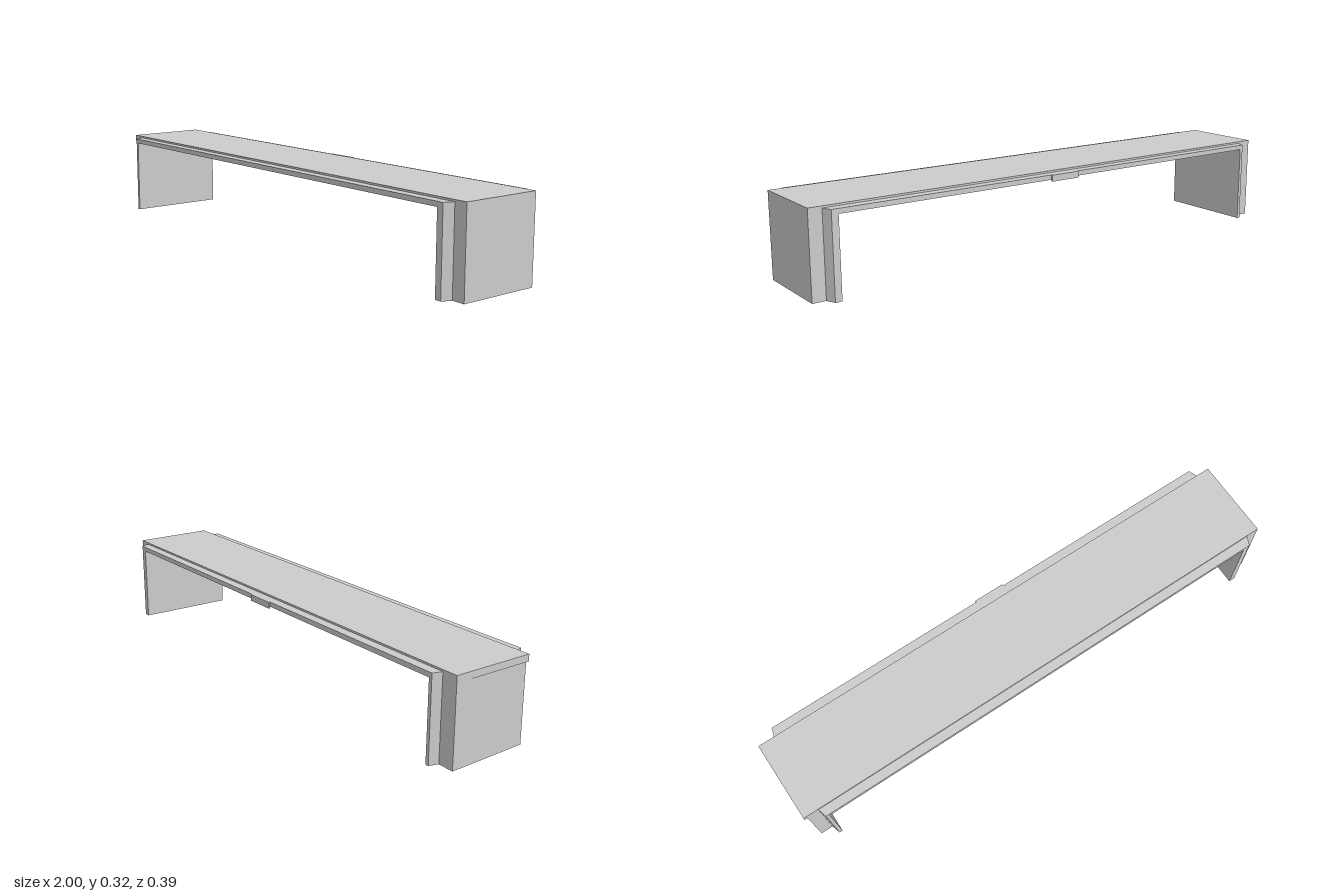
import * as THREE from 'three';

const material = new THREE.MeshStandardMaterial({ color: 0xcccccc, flatShading: true });

// Extrudes a plan outline of [x, z] corners from height y0 to y1.
function slab(name, plan, y0, y1) {
  const shape = new THREE.Shape(plan.map(([x, z]) => new THREE.Vector2(x, -z)));
  const geometry = new THREE.ExtrudeGeometry(shape, { depth: y1 - y0, bevelEnabled: false });
  geometry.rotateX(-Math.PI / 2);
  geometry.translate(0, y0, 0);
  const mesh = new THREE.Mesh(geometry, material);
  mesh.name = name;
  return mesh;
}

export function createModel() {
  const group = new THREE.Group();
  group.name = 'bridge';
  const front = 0.195, back = -0.188, capFront = 0.16, capBack = -0.153;
  const deckTop = 0.31, deckBottom = 0.292, top = 0.317;

  // End walls with a chamfered step; the right-hand outer face is slightly skewed
  group.add(slab('leftLeg', [
    [0.91, front], [0.935, front], [0.95, capFront], [1, capFront],
    [1, capBack], [0.95, capBack], [0.935, back], [0.91, back],
  ], 0, deckTop));
  group.add(slab('rightLeg', [
    [-0.915, front], [-0.928, front], [-0.938, capFront], [-0.985, capFront],
    [-1, capBack], [-0.938, capBack], [-0.928, back], [-0.915, back],
  ], 0, deckTop));

  // Wide thin deck spanning between the legs
  group.add(slab('deck', [
    [-0.915, front], [0.91, front], [0.91, back], [-0.915, back],
  ], deckBottom, deckTop));

  // Narrower raised top plate over the full length
  group.add(slab('topPlate', [
    [-0.996, capFront], [1, capFront], [1, capBack], [-1, capBack],
  ], deckTop, top));

  // Lip filling the overhang above the skewed leg face
  group.add(slab('overhangLip', [
    [-0.996, capFront], [-0.985, capFront], [-1, capBack],
  ], deckBottom, deckTop));

  // Small tab at the middle of the back edge
  group.add(slab('backTab', [
    [-0.055, back], [0.065, back], [0.065, -0.194], [-0.055, -0.194],
  ], 0.286, deckTop));

  return group;
}
